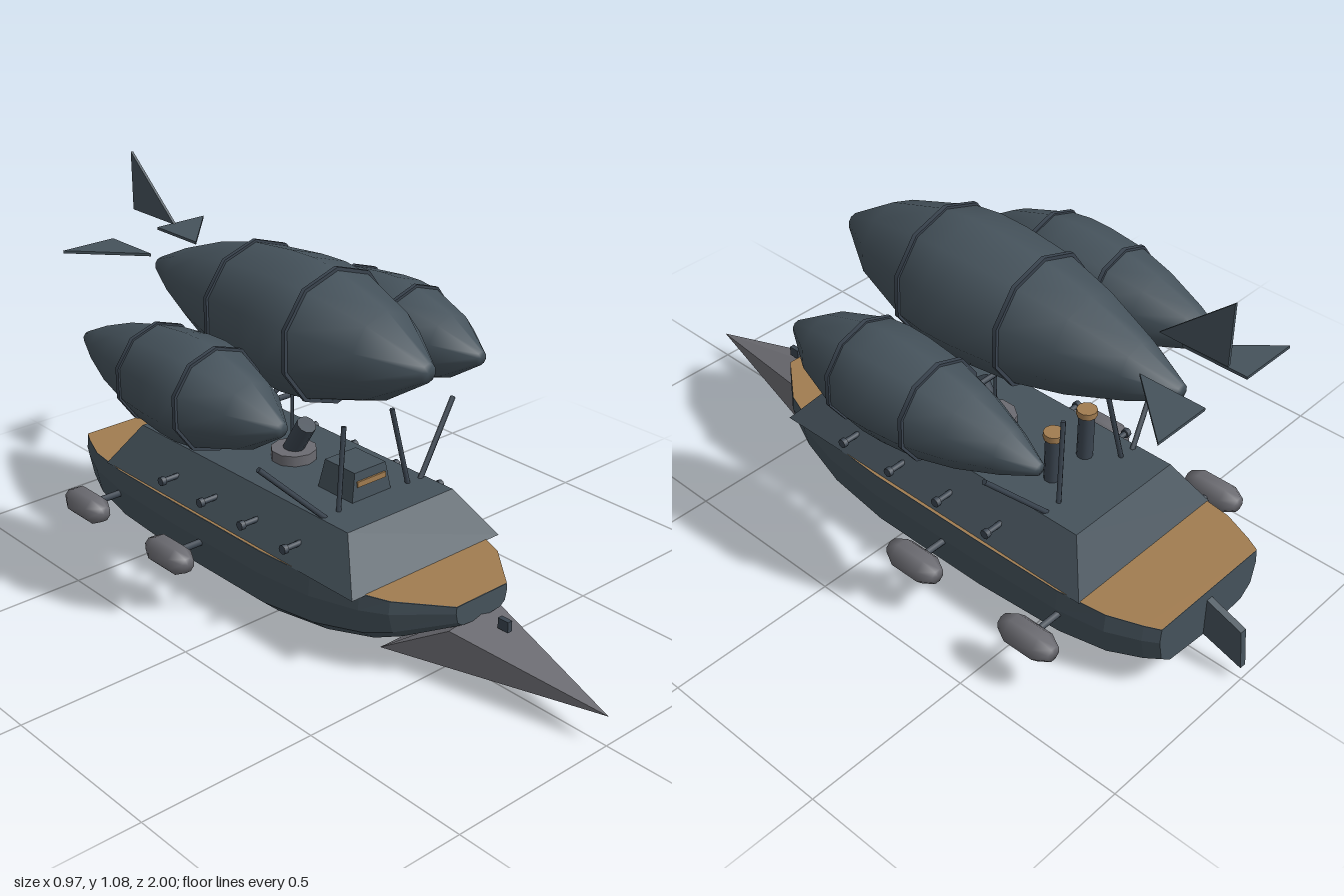
import * as THREE from 'three';

const mat = (name, color, extra = {}) => {
  const m = new THREE.MeshStandardMaterial({ color, ...extra });
  m.name = name;
  return m;
};

export function createModel() {
  const root = new THREE.Group();
  root.name = 'airship';
  const slate = mat('slate plating', 0x45525b);
  const iron = mat('dark iron', 0x3a444f);
  const steel = mat('steel', 0x6b6b71);
  const wood = mat('wood and brass', 0xa17c50);

  const add = (name, geo, material, x = 0, y = 0, z = 0) => {
    const m = new THREE.Mesh(geo, material);
    m.name = name;
    m.position.set(x, y, z);
    root.add(m);
    return m;
  };

  // Flat-faced skin over matching loops, each counter-clockwise seen from the first one
  const loft = (loops) => {
    const pos = [];
    const tri = (...p) => p.forEach((v) => pos.push(...v));
    const n = loops[0].length;
    for (let i = 0; i + 1 < loops.length; i++) {
      for (let j = 0; j < n; j++) {
        const k = (j + 1) % n, A = loops[i], B = loops[i + 1];
        tri(A[j], B[j], B[k]);
        tri(A[j], B[k], A[k]);
      }
    }
    const F = loops[0], L = loops[loops.length - 1];
    for (let j = 1; j + 1 < n; j++) {
      tri(F[0], F[j], F[j + 1]);
      tri(L[0], L[j + 1], L[j]);
    }
    const g = new THREE.BufferGeometry();
    g.setAttribute('position', new THREE.Float32BufferAttribute(pos, 3));
    g.computeVertexNormals();
    return g;
  };

  // Straight rod between two points
  const rod = (name, a, b, r, material, sides = 6) => {
    const A = new THREE.Vector3(...a), B = new THREE.Vector3(...b);
    const d = B.clone().sub(A);
    const m = add(name, new THREE.CylinderGeometry(r, r, d.length(), sides), material);
    m.position.copy(A).add(B).multiplyScalar(0.5);
    m.quaternion.setFromUnitVectors(new THREE.Vector3(0, 1, 0), d.normalize());
    return m;
  };

  // Four-sided block with different [halfWidth, frontZ, backZ] at bottom and top
  const frustum = (y0, bottom, y1, top) => {
    const rect = (y, [w, f, b]) => [[w, y, f], [w, y, b], [-w, y, b], [-w, y, f]];
    return loft([rect(y1, top), rect(y0, bottom)]);
  };

  // Hull stations: z, half width, keel height
  const deckY = 0.23;
  const stations = [
    [0.58, 0.09, 0.165], [0.45, 0.195, 0.1], [0.37, 0.225, 0.065], [0.22, 0.26, 0.03], [0.03, 0.272, 0.002],
    [-0.34, 0.272, 0], [-0.61, 0.268, 0.022], [-0.75, 0.25, 0.045], [-0.84, 0.215, 0.065], [-0.88, 0.195, 0.08],
  ];
  const hullSide = [[0.76, 0.09], [0.95, 0.29], [1.02, 0.72], [1, 1]];
  add('hull', loft(stations.map(([z, w, k]) => {
    const right = hullSide.map(([f, t]) => [w * f, k + (deckY - k) * t, z]);
    const left = right.map(([x, y]) => [-x, y, z]).reverse();
    return [[0, k, z], ...right, ...left];
  })), slate);

  // Deck planking
  const outline = [
    ...stations.map(([z, w]) => new THREE.Vector2(w, -z)),
    ...stations.map(([z, w]) => new THREE.Vector2(-w, -z)).reverse(),
  ];
  add('deck', new THREE.ShapeGeometry(new THREE.Shape(outline)).rotateX(-Math.PI / 2), wood, 0, deckY + 0.002, 0);

  // Armoured casemate and bridge
  add('casemate', frustum(deckY, [0.265, 0.387, -0.677], 0.355, [0.188, 0.285, -0.597]), slate);
  add('bridge', frustum(0.35, [0.07, 0.172, 0.035], 0.435, [0.055, 0.165, 0.048]), slate);
  add('bridgeWindow', new THREE.BoxGeometry(0.1, 0.016, 0.008), wood, 0, 0.402, 0.168);

  // Ram bow with a small sight block
  const ramBase = [[-0.15, 0.043, 0.37], [0.15, 0.043, 0.37], [0.095, 0.155, 0.56], [0, 0.178, 0.57], [-0.095, 0.155, 0.56]];
  add('ram', loft([ramBase.map(() => [0, 0.083, 1]), ramBase]), steel);
  add('ramSight', new THREE.BoxGeometry(0.015, 0.03, 0.034), iron, 0, 0.182, 0.66);

  // Rudder
  const plateX = (t, pts) => loft([t, -t].map((x) => pts.map(([y, z]) => [x, y, z])));
  add('rudder', plateX(0.01, [[0.088, -0.86], [0.045, -1], [0.16, -0.988], [0.205, -0.86]]), slate);

  // Turret and mortar
  add('turretBase', new THREE.CylinderGeometry(0.065, 0.065, 0.03, 10).toNonIndexed(), steel, 0, 0.37, -0.145);
  rod('mortarBarrel', [0, 0.37, -0.155], [0, 0.472, -0.09], 0.028, iron, 10);
  rod('mast', [0, 0.355, -0.15], [0, 0.6, -0.15], 0.005, iron);

  // Gas envelopes: radius and offset along the axis
  const profile = [
    [0, -0.555], [0.022, -0.555], [0.08, -0.43], [0.138, -0.27], [0.175, -0.12], [0.19, 0.03],
    [0.192, 0.12], [0.182, 0.21], [0.122, 0.4], [0.026, 0.55], [0, 0.55],
  ].map((p) => new THREE.Vector2(...p));
  const envelope = (name, x, y, z, s) => {
    const g = new THREE.LatheGeometry(profile, 10).rotateX(Math.PI / 2).scale(s, s, s);
    add(name, g, slate, x, y, z);
    for (const [off, r] of [[-0.12, 0.183], [0.21, 0.19]]) {
      const band = new THREE.CylinderGeometry(r * s, r * s, 0.012, 10).rotateX(Math.PI / 2);
      add(name + 'Band', band, iron, x, y, z + off * s);
    }
  };
  envelope('mainEnvelope', 0, 0.766, -0.18, 1);

  // Vertical tail fin
  add('tailFin', plateX(0.004, [[0.905, -0.66], [0.905, -0.856], [1.077, -0.856]]), slate);

  // Capsule-shaped engine pod
  const podProfile = [[0, -0.083], [0.022, -0.083], [0.042, -0.045], [0.042, 0.045], [0.022, 0.083], [0, 0.083]]
    .map((p) => new THREE.Vector2(...p));

  // Paired parts
  for (const s of [1, -1]) {
    envelope('sideEnvelope', s * 0.348, 0.667, -0.19, 0.748);

    // Horizontal tail fins
    const fin = [[0.08, -0.67], [0.252, -0.858], [0.08, -0.858]].map(([x, z]) => [s * x, z]);
    if (s < 0) fin.reverse();
    add('tailPlane', loft([0.832, 0.824].map((y) => fin.map(([x, z]) => [x, y, z]))), slate);

    // Rigging struts
    for (const [zLow, zMain, zSide] of [[0.18, 0.155, 0.125], [-0.485, -0.455, -0.43]]) {
      rod('mainStrut', [s * 0.125, 0.35, zLow], [s * 0.085, 0.575, zMain], 0.007, iron);
      rod('sideStrut', [s * 0.17, 0.35, zLow], [s * 0.345, 0.525, zSide], 0.008, iron);
    }

    // Engine pods on outriggers
    for (const z of [-0.222, -0.615]) {
      const pod = new THREE.LatheGeometry(podProfile, 8, Math.PI / 8).rotateX(Math.PI / 2);
      add('enginePod', pod, steel, s * 0.38, 0.155, z);
      rod('podOutrigger', [s * 0.24, 0.155, z], [s * 0.36, 0.155, z], 0.01, iron);
    }

    // Broadside guns
    for (const z of [0.145, -0.03, -0.205, -0.38]) {
      rod('gunBarrel', [s * 0.2, 0.285, z], [s * 0.285, 0.285, z], 0.008, iron, 8);
      rod('gunMuzzle', [s * 0.274, 0.285, z], [s * 0.288, 0.285, z], 0.013, iron, 8);
    }

    // Chimneys
    rod('chimney', [s * 0.065, 0.35, -0.41], [s * 0.065, 0.495, -0.41], 0.022, iron, 10);
    rod('chimneyCap', [s * 0.065, 0.488, -0.41], [s * 0.065, 0.506, -0.41], 0.028, wood, 10);
  }

  // Cross beam joining the side envelopes
  rod('crossBeam', [-0.345, 0.535, -0.165], [0.345, 0.535, -0.165], 0.008, iron);

  return root;
}
